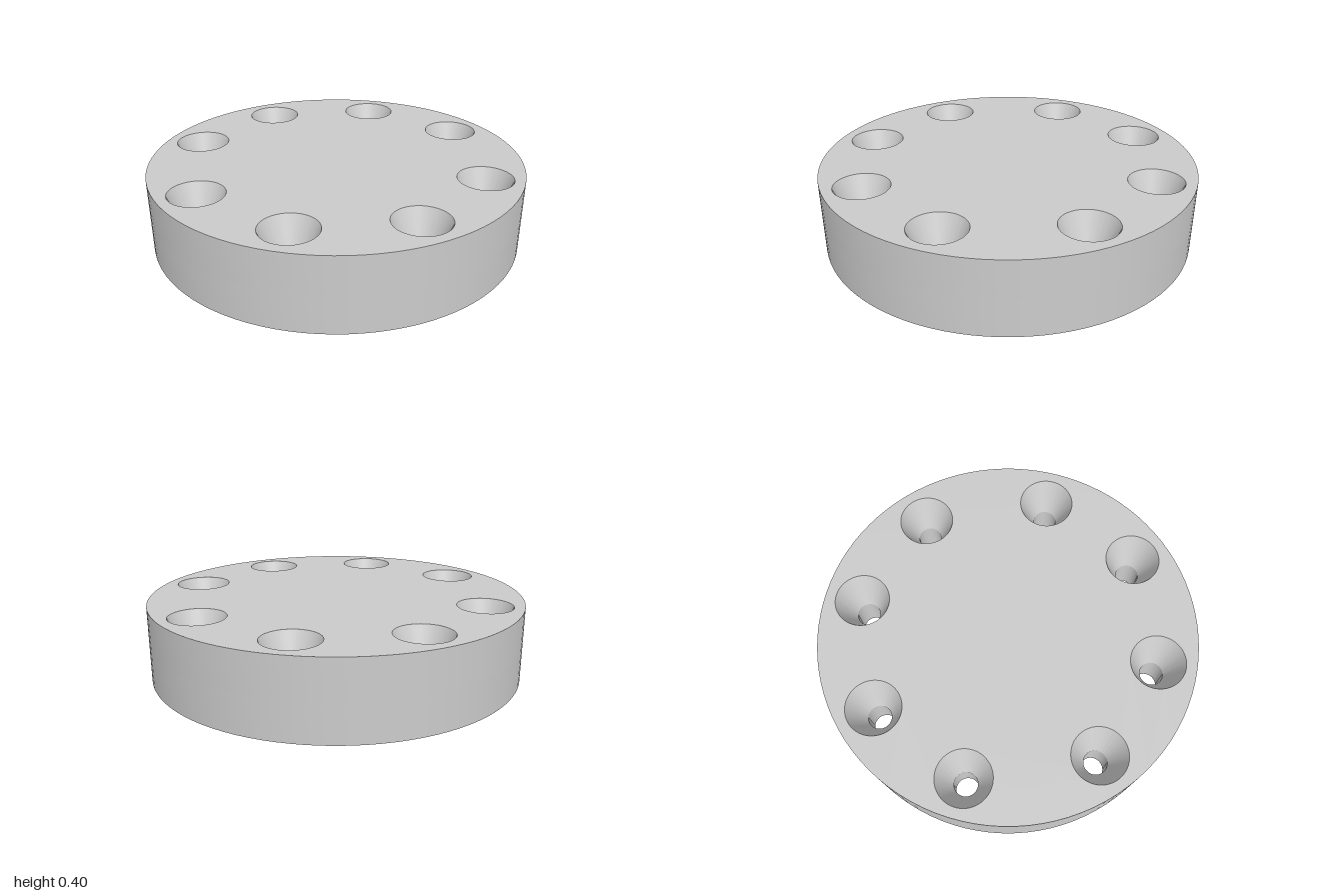
import * as THREE from 'three';
import { toCreasedNormals } from 'three/addons/utils/BufferGeometryUtils.js';

const RADIUS = 1, THICK = 0.2, BORE = 0.0625, SINK = 0.145;

// Screw hole centres: two per quadrant, mirrored
const HOLES = [];
for (const sx of [1, -1])
  for (const sy of [1, -1])
    HOLES.push([0.725 * sx, 0.34 * sy], [0.3 * sx, 0.74 * sy]);

// Round plate whose holes run from topRadius down to bottomRadius
function plateGeometry(topRadius, bottomRadius) {
  const shape = new THREE.Shape().absarc(0, 0, RADIUS, 0, Math.PI * 2, false);
  for (const [x, y] of HOLES)
    shape.holes.push(new THREE.Path().absarc(x, y, topRadius, 0, Math.PI * 2, true));
  const geo = new THREE.ExtrudeGeometry(shape, { depth: THICK, bevelEnabled: false, curveSegments: 48 });

  // Taper: pull the lower rim of each hole in towards its centre
  const p = geo.attributes.position;
  const k = bottomRadius / topRadius;
  for (let i = 0; i < p.count; i++) {
    if (p.getZ(i) > THICK / 2) continue;
    for (const [cx, cy] of HOLES) {
      const dx = p.getX(i) - cx, dy = p.getY(i) - cy;
      if (Math.hypot(dx, dy) < topRadius + 0.0001) {
        p.setXY(i, cx + dx * k, cy + dy * k);
        break;
      }
    }
  }
  geo.rotateX(-Math.PI / 2);
  return toCreasedNormals(geo, 0.6);
}

export function createModel() {
  const model = new THREE.Group();
  model.name = 'boltedDisc';
  const material = new THREE.MeshStandardMaterial({ color: 0xcccccc });

  // Lower plate with straight bores
  const lower = new THREE.Mesh(plateGeometry(BORE, BORE), material);
  lower.name = 'lowerPlate';

  // Upper plate with conical countersinks
  const upper = new THREE.Mesh(plateGeometry(SINK, BORE), material);
  upper.name = 'upperPlate';
  upper.position.y = THICK;

  model.add(lower, upper);
  return model;
}
